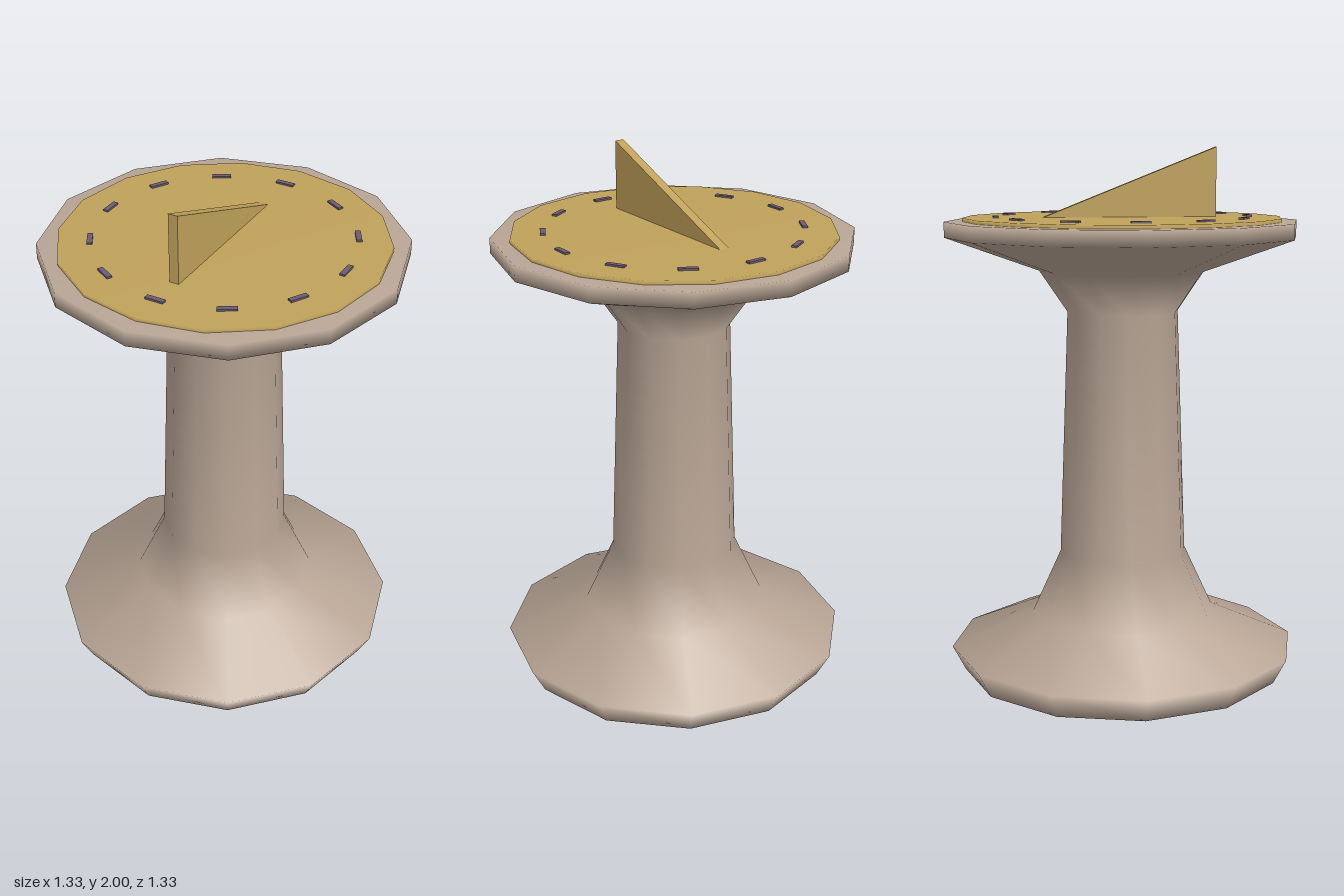
import * as THREE from 'three';

const material = (name, color) => Object.assign(new THREE.MeshStandardMaterial({ color }), { name });

export function createModel() {
  const stone = material('stone', 0xb8a595);
  const brass = material('brass', 0xbfa15a);
  const ink = material('hour mark purple', 0x6b5b73);

  const model = new THREE.Group();
  model.name = 'sundial';
  const add = (name, geometry, mat, parent = model) => {
    const mesh = new THREE.Mesh(geometry, mat);
    mesh.name = name;
    parent.add(mesh);
    return mesh;
  };
  const lathe = (points, sides) =>
    new THREE.LatheGeometry(points.map(([r, y]) => new THREE.Vector2(r, y)), sides);

  // Turned pedestal: flared foot, tapering shaft and wide table
  add('pedestal', lathe([
    [0, 0], [0.615, 0], [0.665, 0.095], [0.35, 0.23], [0.242, 0.465],
    [0.21, 1.39], [0.315, 1.545], [0.665, 1.67], [0.665, 1.728], [0, 1.728],
  ], 12), stone);

  // Dial plate
  add('dial', lathe([[0.597, 1.726], [0.597, 1.742], [0, 1.742]], 16), brass);

  // Hour marks, lying along the ring
  const marks = new THREE.Group();
  marks.name = 'hourMarks';
  model.add(marks);
  const markGeometry = new THREE.BoxGeometry(0.07, 0.009, 0.02);
  for (let i = 0; i < 12; i++) {
    const a = (i / 12) * Math.PI * 2;
    const mark = add('hourMark', markGeometry, ink, marks);
    mark.position.set(Math.sin(a) * 0.474, 1.7445, Math.cos(a) * 0.474);
    mark.rotation.y = a;
  }

  // Gnomon: triangular fin, upright edge at the front
  const width = 0.036;
  const fin = new THREE.Shape([
    new THREE.Vector2(-0.35, 1.74), new THREE.Vector2(0.305, 1.74), new THREE.Vector2(-0.35, 2),
  ]);
  const finGeometry = new THREE.ExtrudeGeometry(fin, { depth: width, bevelEnabled: false });
  finGeometry.translate(0, 0, -width / 2).rotateY(Math.PI / 2);
  add('gnomon', finGeometry, brass);

  return model;
}
